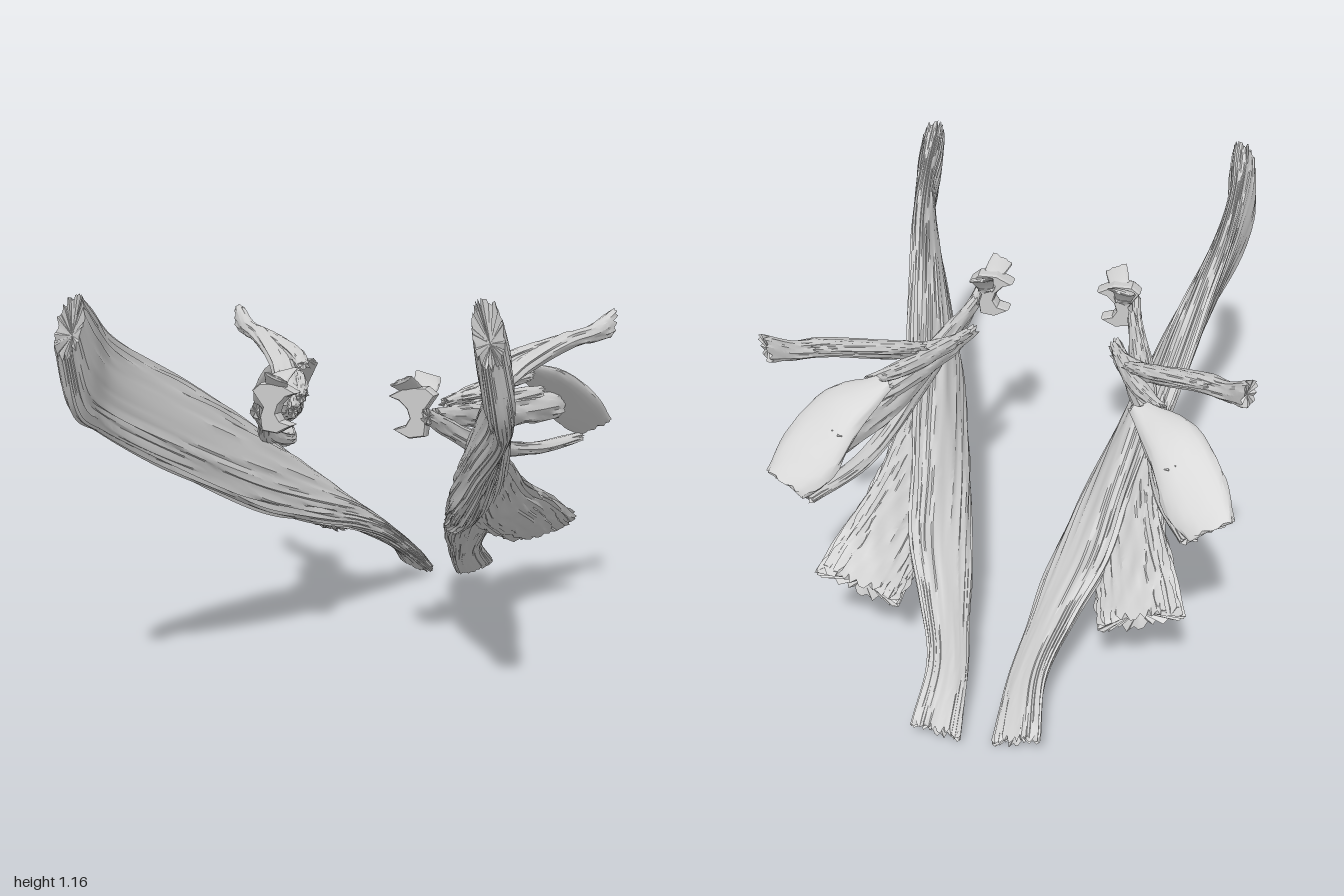
import * as THREE from 'three';
import { toCreasedNormals } from 'three/addons/utils/BufferGeometryUtils.js';

const material = new THREE.MeshStandardMaterial({ color: 0xcccccc, side: THREE.DoubleSide });

// Seeded value in 0..1 for a pair of integers
function hash(a, b) {
  const v = Math.sin(a * 127.1 + b * 311.7) * 43758.5453;
  return v - Math.floor(v);
}

// Long streaks running along a bundle: one random track per column
function fibre(col, t) {
  const p = t * 9 + hash(col, 91) * 5;
  const k = Math.floor(p);
  const f = p - k;
  return THREE.MathUtils.lerp(hash(col, k), hash(col, k + 1), f * f * (3 - 2 * f));
}

// Slightly squared cosine or sine, for full-bodied cross-sections
const full = (v) => Math.sign(v) * Math.abs(v) ** 0.85;

// Skin over cross-sections. Each section is [edge A xyz, edge B xyz, thickness].
function loft(sections, side, { rings = 36, cols = 40, groove = 0.16, jag = 0.03, dish = 0.03 } = {}) {
  const curve = (fn) => new THREE.CatmullRomCurve3(sections.map(fn));
  const edgeA = curve((s) => new THREE.Vector3(s[0] * side, s[1], s[2]));
  const edgeB = curve((s) => new THREE.Vector3(s[3] * side, s[4], s[5]));
  const thick = curve((s, i) => new THREE.Vector3(s[6], i, 0));
  const mid = (t) => edgeA.getPoint(t).add(edgeB.getPoint(t)).multiplyScalar(0.5);
  const heading = (t) => mid(Math.min(1, t + 0.02)).sub(mid(Math.max(0, t - 0.02))).normalize();
  const pos = [];
  const index = [];
  for (let i = 0; i <= rings; i++) {
    const t = i / rings;
    const c = mid(t);
    const dir = heading(t);
    const u = edgeB.getPoint(t).sub(edgeA.getPoint(t)).multiplyScalar(0.5);
    const n = dir.clone().cross(u).normalize().multiplyScalar(thick.getPoint(t).x / 2);
    const end = i === 0 ? -1 : i === rings ? 1 : 0;
    for (let j = 0; j < cols; j++) {
      const a = (j / cols) * Math.PI * 2;
      const col = side > 0 ? j : (cols - j) % cols;
      const r = 1 + groove * (0.35 - fibre(col, t));
      const p = c.clone()
        .addScaledVector(u, full(Math.cos(a)) * r)
        .addScaledVector(n, full(Math.sin(a)) * r)
        .addScaledVector(dir, end * jag * (hash(col, 17 + end) - 0.5));
      pos.push(p.x, p.y, p.z);
      if (i < rings) {
        const k = i * cols;
        const j2 = (j + 1) % cols;
        index.push(k + j, k + j2, k + cols + j2, k + j, k + cols + j2, k + cols + j);
      }
    }
  }
  // Slightly hollow end faces
  for (const t of [0, 1]) {
    const c = mid(t).addScaledVector(heading(t), t ? -dish : dish);
    const centre = pos.length / 3;
    pos.push(c.x, c.y, c.z);
    const k = t * rings * cols;
    for (let j = 0; j < cols; j++) {
      const j2 = (j + 1) % cols;
      if (t) index.push(centre, k + j, k + j2);
      else index.push(centre, k + j2, k + j);
    }
  }
  const g = new THREE.BufferGeometry();
  g.setAttribute('position', new THREE.Float32BufferAttribute(pos, 3));
  g.setIndex(index);
  return toCreasedNormals(g, 0.6);
}

// Sections for an upright strip along a path of [x, y, z, height, thickness]
const strip = (path) => path.map(([x, y, z, h, t]) => [x, y - h / 2, z, x, y + h / 2, z, t]);

// Long main bundle, ending in a flat tail
const mainBundle = [
  [0.59, 1.0, 0.995, 0.56, 1.165, 0.955, 0.08],
  [0.6, 0.83, 0.91, 0.56, 1.13, 0.9, 0.09],
  [0.58, 0.77, 0.8, 0.56, 1.06, 0.8, 0.075],
  [0.48, 0.65, 0.6, 0.54, 0.97, 0.6, 0.09],
  [0.4, 0.55, 0.4, 0.5, 0.88, 0.4, 0.11],
  [0.32, 0.46, 0.2, 0.46, 0.78, 0.2, 0.13],
  [0.26, 0.4, 0, 0.42, 0.67, 0, 0.13],
  [0.21, 0.36, -0.15, 0.39, 0.58, -0.15, 0.12],
  [0.16, 0.32, -0.32, 0.35, 0.48, -0.32, 0.1],
  [0.115, 0.26, -0.5, 0.31, 0.37, -0.5, 0.09],
  [0.09, 0.19, -0.66, 0.24, 0.28, -0.66, 0.07],
  [0.06, 0.105, -0.82, 0.18, 0.175, -0.82, 0.06],
  [0.045, 0.025, -0.97, 0.19, 0.075, -0.985, 0.05],
];

// Broad fan branching off the outer edge
const fan = [
  [0.3, 0.48, 0.02, 0.42, 0.67, 0.02, 0.07],
  [0.26, 0.36, -0.3, 0.44, 0.51, -0.3, 0.08],
  [0.28, 0.29, -0.5, 0.5, 0.42, -0.5, 0.09],
  [0.3, 0.24, -0.66, 0.56, 0.33, -0.66, 0.08],
];

// Slender strips above the main bundle
const strips = {
  lowerStrip: [
    [0.27, 0.8, 0.39, 0.05, 0.03], [0.29, 0.76, 0.27, 0.06, 0.035], [0.34, 0.7, 0.12, 0.07, 0.045],
    [0.39, 0.645, -0.12, 0.06, 0.05], [0.46, 0.605, -0.44, 0.04, 0.06], [0.56, 0.615, -0.68, 0.03, 0.06],
  ],
  middleStrip: [
    [0.27, 0.79, 0.28, 0.05, 0.03], [0.33, 0.765, 0, 0.08, 0.06],
    [0.4, 0.745, -0.3, 0.1, 0.08], [0.5, 0.745, -0.57, 0.09, 0.08],
  ],
  innerStrip: [
    [0.24, 0.77, 0.13, 0.04, 0.03], [0.31, 0.775, -0.08, 0.06, 0.05],
    [0.39, 0.79, -0.3, 0.06, 0.06], [0.46, 0.8, -0.44, 0.04, 0.05],
  ],
  shortStrip: [
    [0.24, 0.805, 0.05, 0.03, 0.03], [0.3, 0.825, -0.12, 0.05, 0.05],
    [0.37, 0.845, -0.28, 0.05, 0.05], [0.44, 0.86, -0.39, 0.03, 0.03],
  ],
  upperStrip: [
    [0.26, 0.815, -0.02, 0.03, 0.04], [0.36, 0.84, -0.16, 0.05, 0.08], [0.43, 0.9, -0.27, 0.06, 0.08],
    [0.55, 0.975, -0.41, 0.06, 0.07], [0.63, 1.0, -0.49, 0.06, 0.05], [0.69, 1.035, -0.555, 0.09, 0.05],
  ],
  upperStrand: [
    [0.32, 0.89, -0.21, 0.025, 0.04], [0.37, 0.92, -0.28, 0.04, 0.06],
    [0.47, 0.96, -0.37, 0.04, 0.06], [0.58, 0.995, -0.46, 0.03, 0.04],
  ],
};

// Thin slanted plate that closes the far ends of the strips
const endPlate = [
  [0.35, 0.88, -0.45, 0.41, 0.9, -0.43, 0.02],
  [0.43, 0.78, -0.56, 0.54, 0.87, -0.47, 0.04],
  [0.49, 0.67, -0.655, 0.64, 0.78, -0.57, 0.04],
  [0.56, 0.625, -0.7, 0.68, 0.69, -0.66, 0.03],
];

// Flared lips of the small bracket
const lips = {
  frontLip: [[0.21, 0.83, 0.3, 0.26, 0.83, 0.3, 0.03], [0.18, 0.87, 0.35, 0.25, 0.88, 0.35, 0.02], [0.16, 0.89, 0.4, 0.23, 0.92, 0.41, 0.012]],
  rearLip: [[0.21, 0.83, 0.32, 0.26, 0.83, 0.32, 0.03], [0.2, 0.89, 0.27, 0.28, 0.88, 0.27, 0.02], [0.19, 0.92, 0.22, 0.27, 0.9, 0.22, 0.012]],
};

// Small notched bracket at the near end of the strips
function bracketGeometry(side) {
  const outline = [
    [0.15, 0.855], [0.2, 0.88], [0.26, 0.88], [0.285, 0.86], [0.25, 0.81], [0.26, 0.78], [0.255, 0.74],
    [0.21, 0.733], [0.165, 0.755], [0.2, 0.765], [0.215, 0.79], [0.205, 0.82], [0.18, 0.845],
  ];
  const shape = new THREE.Shape(outline.map(([x, y]) => new THREE.Vector2(x * side, y)));
  const g = new THREE.ExtrudeGeometry(shape, {
    depth: 0.04, bevelEnabled: true, bevelSize: 0.004, bevelThickness: 0.01, bevelSegments: 1,
  });
  g.translate(0, 0, 0.32);
  return g;
}

export function createModel() {
  const model = new THREE.Group();
  model.name = 'pairedFibreBundles';
  for (const side of [1, -1]) {
    const half = new THREE.Group();
    half.name = side > 0 ? 'leftBundle' : 'rightBundle';
    const add = (name, geometry) => {
      const mesh = new THREE.Mesh(geometry, material);
      mesh.name = name;
      half.add(mesh);
    };
    add('mainBundle', loft(mainBundle, side, { rings: 80, cols: 72, jag: 0.025 }));
    add('fan', loft(fan, side, { cols: 72, groove: 0.2, jag: 0.03 }));
    for (const [name, path] of Object.entries(strips)) {
      add(name, loft(strip(path), side, { cols: 24, groove: 0.3, dish: 0.01 }));
    }
    add('endPlate', loft(endPlate, side, { rings: 14, cols: 24, groove: 0.08, jag: 0.02, dish: 0 }));
    for (const [name, path] of Object.entries(lips)) {
      add(name, loft(path, side, { rings: 8, cols: 14, groove: 0.05, jag: 0.01, dish: 0 }));
    }
    add('bracket', bracketGeometry(side));
    model.add(half);
  }
  return model;
}
